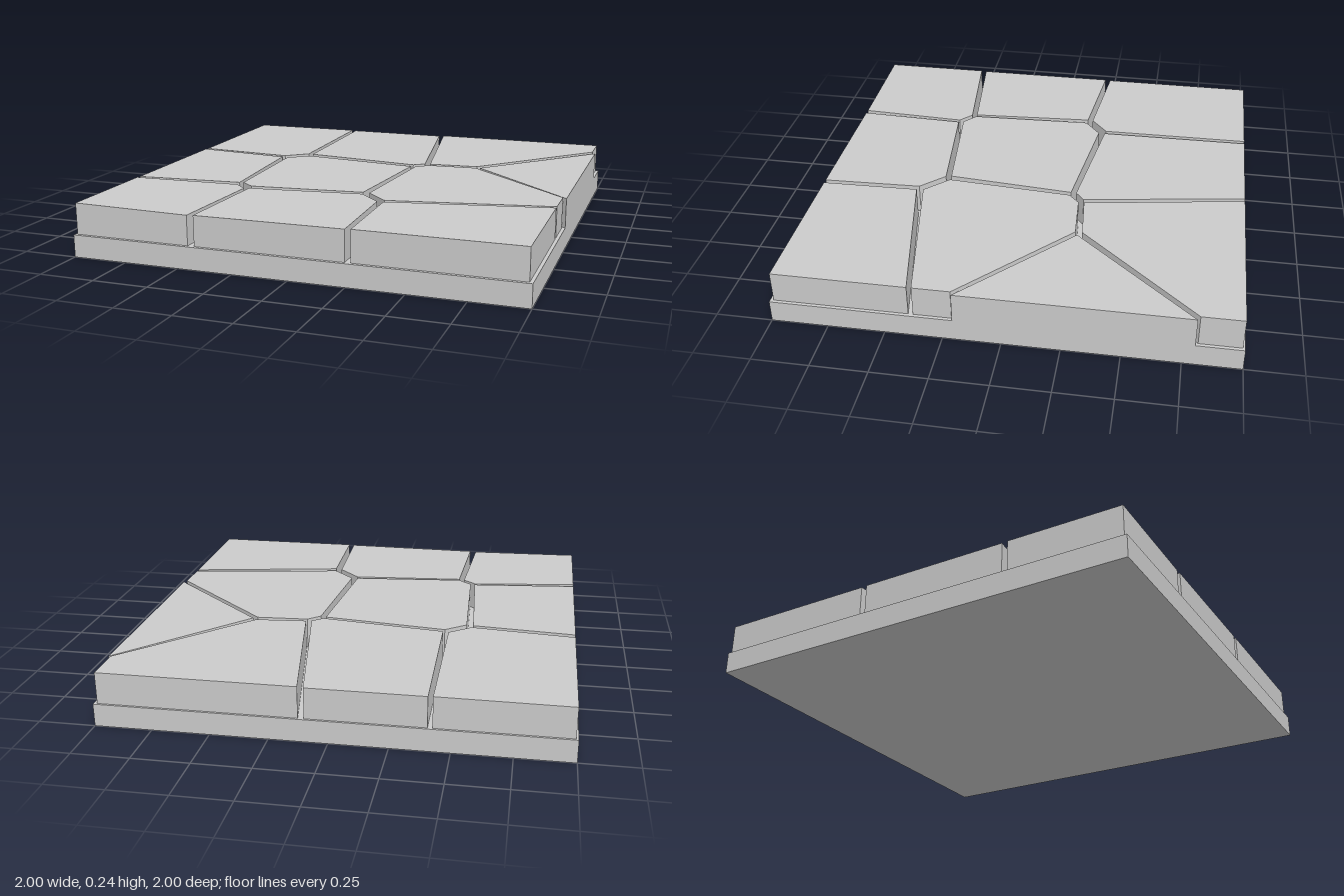
import * as THREE from 'three';

const BASE_TOP = 0.1;

// Each stone: outline as [x, z] corners, top height at its middle, slope along x and z
const stones = [
  { name: 'backLeftStone', top: 0.238, slope: [0.004, 0], outline: [[-0.99, -0.99], [-0.425, -0.99], [-0.42, -0.29], [-0.52, -0.21], [-0.99, -0.255]] },
  { name: 'backMiddleStone', top: 0.239, slope: [0, 0.003], outline: [[-0.405, -0.99], [0.1, -0.99], [0.225, -0.25], [0.175, -0.21], [-0.395, -0.285]] },
  { name: 'backRightStone', top: 0.24, slope: [0, -0.002], outline: [[0.125, -0.99], [0.985, -0.99], [0.985, -0.81], [0.485, -0.275], [0.25, -0.255]] },
  { name: 'rightWedgeStone', top: 0.236, slope: [-0.006, 0], outline: [[1, -0.8], [1, 0.205], [0.505, -0.255]] },
  { name: 'rightMiddleStone', top: 0.239, slope: [0.002, 0], outline: [[0.25, -0.23], [0.485, -0.245], [0.985, 0.21], [0.985, 0.375], [0.255, 0.505], [0.15, 0.4], [0.195, -0.18]] },
  { name: 'centreStone', top: 0.238, slope: [0, 0.003], outline: [[-0.4, -0.255], [0.17, -0.185], [0.12, 0.4], [-0.405, 0.455], [-0.47, 0.4], [-0.495, -0.18]] },
  { name: 'leftStone', top: 0.238, slope: [-0.003, 0], outline: [[-0.99, -0.23], [-0.525, -0.185], [-0.49, 0.4], [-0.99, 0.45]] },
  { name: 'frontLeftStone', top: 0.236, slope: [-0.014, 0], outline: [[-0.99, 0.475], [-0.49, 0.425], [-0.43, 0.48], [-0.455, 0.985], [-0.99, 0.985]] },
  { name: 'frontMiddleStone', top: 0.237, slope: [0.005, 0], outline: [[-0.405, 0.48], [0.125, 0.425], [0.23, 0.53], [0.245, 0.985], [-0.425, 0.985]] },
  { name: 'frontRightStone', top: 0.24, slope: [0, 0], outline: [[0.26, 0.535], [0.985, 0.395], [0.985, 0.985], [0.27, 0.985]] },
];

// Upright prism over the outline, with its top face gently tilted
function stoneGeometry({ outline, top, slope }) {
  const shape = new THREE.Shape(outline.map(([x, z]) => new THREE.Vector2(x, -z)));
  const geometry = new THREE.ExtrudeGeometry(shape, { depth: 1, bevelEnabled: false });
  geometry.rotateX(-Math.PI / 2);
  const midX = outline.reduce((sum, p) => sum + p[0], 0) / outline.length;
  const midZ = outline.reduce((sum, p) => sum + p[1], 0) / outline.length;
  const pos = geometry.attributes.position;
  for (let i = 0; i < pos.count; i++) {
    const tilt = slope[0] * (pos.getX(i) - midX) + slope[1] * (pos.getZ(i) - midZ);
    pos.setY(i, pos.getY(i) > 0.5 ? top + tilt : BASE_TOP);
  }
  geometry.computeVertexNormals();
  return geometry;
}

export function createModel() {
  const model = new THREE.Group();
  model.name = 'pavingTile';
  const material = new THREE.MeshStandardMaterial({ color: 0xcccccc, flatShading: true });

  // Square slab under the stones
  const base = new THREE.Mesh(new THREE.BoxGeometry(2, BASE_TOP, 2), material);
  base.name = 'baseSlab';
  base.position.y = BASE_TOP / 2;
  model.add(base);

  // Irregular paving stones separated by narrow joints
  for (const stone of stones) {
    const mesh = new THREE.Mesh(stoneGeometry(stone), material);
    mesh.name = stone.name;
    model.add(mesh);
  }
  return model;
}
